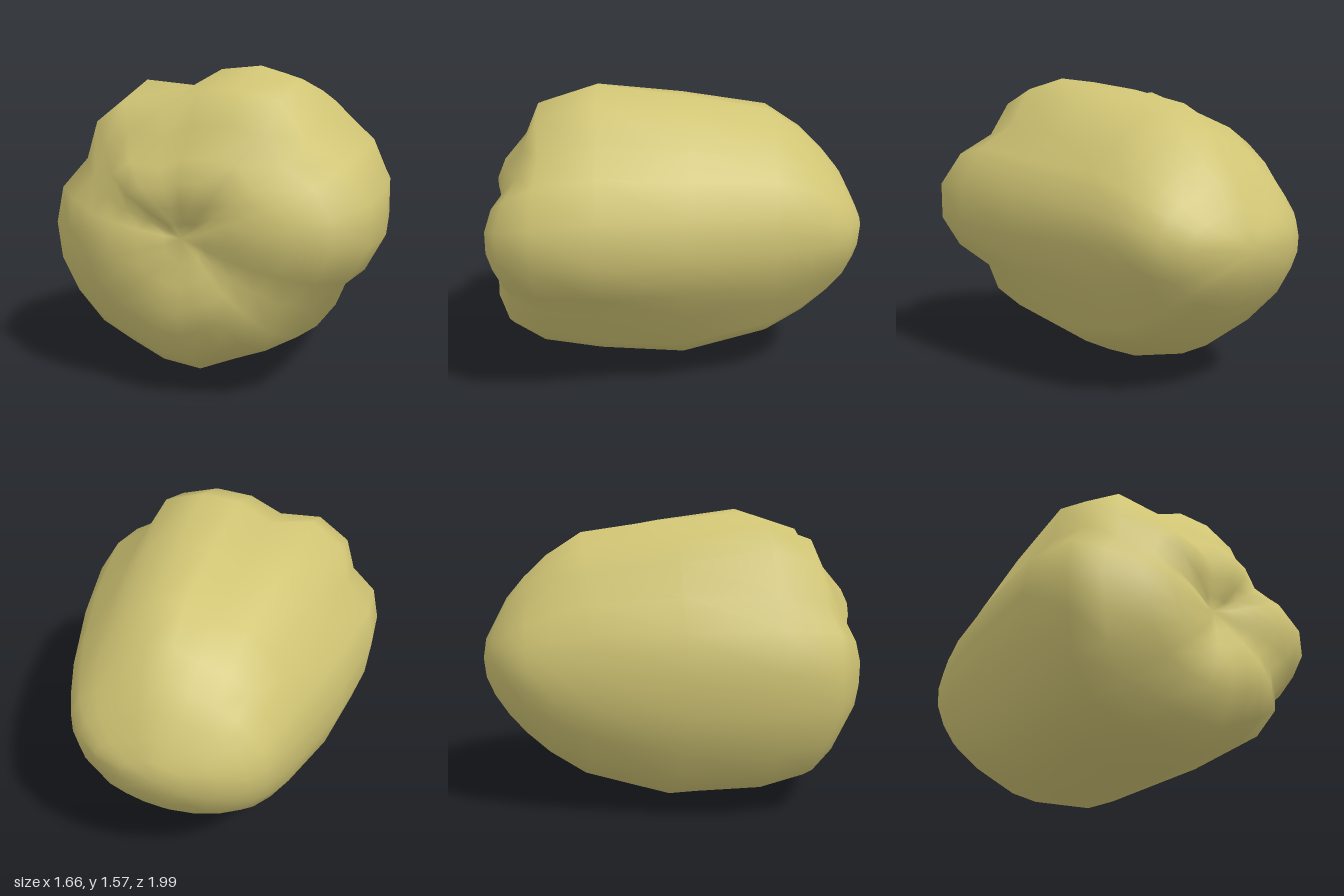
import * as THREE from 'three';

// Lobed outline at the widest point, counter-clockwise from the model's left (+x)
const OUTLINE = [
  [0.83, 0.78], [0.83, 1.0], [0.71, 1.19], [0.52, 1.31], [0.4, 1.51], [0.19, 1.57],
  [-0.02, 1.55], [-0.2, 1.455], [-0.44, 1.49], [-0.61, 1.36], [-0.66, 1.15], [-0.79, 0.98],
  [-0.83, 0.77], [-0.81, 0.56], [-0.75, 0.35], [-0.62, 0.17], [-0.43, 0.08], [-0.23, 0.02],
  [-0.02, 0.0], [0.17, 0.09], [0.33, 0.16], [0.49, 0.26], [0.55, 0.43], [0.73, 0.59],
];
// Rounder outline that the lobes fade into towards the rear, same order
const REAR_OUTLINE = [
  [0.82, 0.78], [0.82, 0.98], [0.73, 1.18], [0.59, 1.3], [0.42, 1.4], [0.2, 1.53],
  [0.0, 1.56], [-0.19, 1.47], [-0.39, 1.37], [-0.57, 1.28], [-0.68, 1.15], [-0.79, 0.98],
  [-0.83, 0.78], [-0.82, 0.58], [-0.74, 0.38], [-0.62, 0.21], [-0.43, 0.09], [-0.22, 0.02],
  [0.0, 0.0], [0.2, 0.04], [0.38, 0.12], [0.54, 0.23], [0.65, 0.4], [0.77, 0.58],
];
const CENTRE_Y = 0.78;

// Cross-sections from rear to front: z, width, upper and lower scale,
// share of the rear outline, and groove dip
const RINGS = [
  [-0.985, 0.2, 0.12, 0.15, 1, 0],
  [-0.94, 0.38, 0.23, 0.27, 1, 0],
  [-0.87, 0.52, 0.4, 0.4, 1, 0],
  [-0.78, 0.61, 0.54, 0.53, 0.9, 0],
  [-0.66, 0.67, 0.69, 0.67, 0.8, 0],
  [-0.47, 0.75, 0.85, 0.83, 0.7, 0],
  [-0.02, 0.9, 0.94, 1.0, 0.4, 0],
  [0.43, 1.0, 1.0, 0.97, 0, 0],
  [0.73, 0.99, 0.88, 0.89, 0, 0.02],
  [0.87, 0.84, 0.68, 0.76, 0, 0.03],
  [0.96, 0.64, 0.5, 0.57, 0, 0.045],
  [0.985, 0.46, 0.36, 0.42, 0, 0.055],
  [0.965, 0.28, 0.23, 0.27, 0, 0.045],
  [0.925, 0.13, 0.11, 0.13, 0, 0.02],
];

// Strength of the grooves that run between lobes into the front dimple
const GROOVES = { 3: 1, 7: 0.5, 10: 1, 16: 0.6, 22: 0.6 };
function grooveAt(i) {
  const n = OUTLINE.length;
  return (GROOVES[i] ?? 0) + 0.4 * ((GROOVES[(i + 1) % n] ?? 0) + (GROOVES[(i + n - 1) % n] ?? 0));
}

// Tilt of the front: left lobes forward, right and upper lobes back
function frontTilt(x, y, z) {
  if (z < 0.7) return 0;
  const right = Math.max(0, -x - 0.2), upper = Math.max(0, y - 1), lower = Math.max(0, 0.6 - y);
  const corner = -0.5 * right * (upper + lower);
  if (z < 0.8) return corner;
  return corner + 0.1 * Math.max(0, x - 0.3) + 0.2 * Math.max(0, x + 0.2) * lower
    - 0.1 * right - 0.22 * upper;
}

function lobedBody() {
  const n = OUTLINE.length;
  const positions = [];
  const index = [];
  for (const [z, width, top, bottom, round, dip] of RINGS) {
    OUTLINE.forEach(([x, y], i) => {
      const [rearX, rearY] = REAR_OUTLINE[i];
      const dy = THREE.MathUtils.lerp(y, rearY, round) - CENTRE_Y;
      const px = THREE.MathUtils.lerp(x, rearX, round) * width;
      const py = CENTRE_Y + dy * (dy > 0 ? top : bottom);
      positions.push(px, py, z - dip * grooveAt(i) + frontTilt(px, py, z));
    });
  }
  for (let r = 0; r < RINGS.length - 1; r++) {
    for (let i = 0; i < n; i++) {
      const a = r * n + i, b = r * n + ((i + 1) % n);
      index.push(a, b, b + n, a, b + n, a + n);
    }
  }
  // Close the rear tip and the front dimple
  const rear = positions.length / 3, front = rear + 1, last = (RINGS.length - 1) * n;
  positions.push(-0.02, 0.77, -1, -0.03, 0.79, 0.9);
  for (let i = 0; i < n; i++) {
    const j = (i + 1) % n;
    index.push(rear, j, i, front, last + i, last + j);
  }
  const geometry = new THREE.BufferGeometry();
  geometry.setAttribute('position', new THREE.Float32BufferAttribute(positions, 3));
  geometry.setIndex(index);
  geometry.computeVertexNormals();
  return geometry;
}

export function createModel() {
  const skin = new THREE.MeshStandardMaterial({ color: 0xd0c474 });
  skin.name = 'yellowSkin';
  const body = new THREE.Mesh(lobedBody(), skin);
  body.name = 'lobedBody';
  const group = new THREE.Group();
  group.name = 'lobedFruit';
  group.add(body);
  return group;
}
